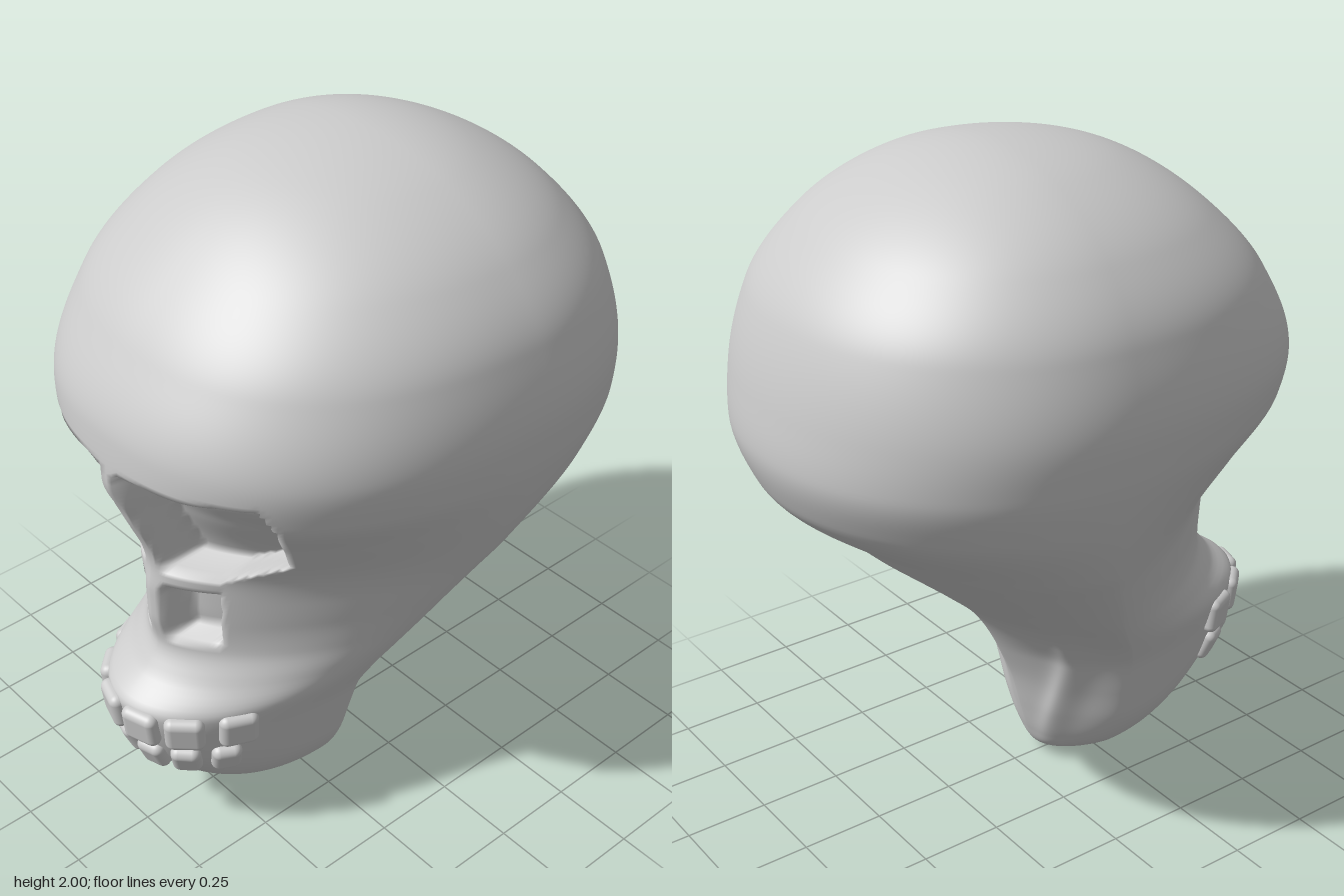
import * as THREE from 'three';
import { RoundedBoxGeometry } from 'three/addons/geometries/RoundedBoxGeometry.js';

const material = new THREE.MeshStandardMaterial({ color: 0xcccccc });

// Horizontal sections, the face towards -x:
// height, face x, nape x, x of the widest point, half width, face and nape roundness
const SECTIONS = [
  [0.00, -0.25, -0.25, -0.25, 0.00, 2.0, 1.8],
  [0.04, -0.45, -0.08, -0.24, 0.13, 2.0, 1.7],
  [0.10, -0.56, -0.05, -0.23, 0.20, 2.0, 1.5],
  [0.20, -0.665, -0.02, -0.22, 0.255, 2.05, 1.38],
  [0.31, -0.745, 0.01, -0.21, 0.285, 2.1, 1.32],
  [0.42, -0.785, 0.055, -0.20, 0.315, 2.1, 1.3],
  [0.50, -0.80, 0.095, -0.17, 0.35, 2.0, 1.35],
  [0.58, -0.71, 0.15, -0.12, 0.39, 1.75, 1.42],
  [0.66, -0.665, 0.235, -0.07, 0.43, 1.55, 1.5],
  [0.76, -0.68, 0.35, -0.02, 0.48, 1.42, 1.62],
  [0.85, -0.68, 0.455, 0.03, 0.525, 1.42, 1.7],
  [0.93, -0.67, 0.54, 0.07, 0.565, 1.48, 1.8],
  [1.13, -0.735, 0.765, 0.12, 0.64, 1.85, 2.0],
  [1.27, -0.785, 0.805, 0.12, 0.675, 2.2, 2.1],
  [1.40, -0.775, 0.79, 0.12, 0.69, 2.35, 2.1],
  [1.61, -0.675, 0.73, 0.11, 0.65, 2.35, 2.1],
  [1.79, -0.515, 0.595, 0.10, 0.535, 2.25, 2.05],
  [1.94, -0.28, 0.365, 0.09, 0.312, 2.05, 2.0],
  [2.00, 0.08, 0.08, 0.08, 0.00, 2.0, 2.0],
];

// Heights are spaced like a sphere's rings so that both ends close smoothly
const toT = y => Math.acos(THREE.MathUtils.clamp(1 - y, -1, 1)) / Math.PI;
const KNOTS = SECTIONS.map(s => toT(s[0]));

// Monotone cubic through one column of the section table
function smoothColumn(col) {
  const v = SECTIONS.map(s => s[col]), n = v.length;
  const slope = i => (v[i + 1] - v[i]) / (KNOTS[i + 1] - KNOTS[i]);
  const tangent = v.map((_, i) => {
    if (i === 0) return slope(0);
    if (i === n - 1) return slope(n - 2);
    const a = slope(i - 1), b = slope(i);
    return a * b <= 0 ? 0 : 2 * a * b / (a + b);
  });
  return t => {
    let i = 0;
    while (i < n - 2 && t > KNOTS[i + 1]) i++;
    const h = KNOTS[i + 1] - KNOTS[i], s = (t - KNOTS[i]) / h, s2 = s * s, s3 = s2 * s;
    return v[i] * (2 * s3 - 3 * s2 + 1) + tangent[i] * h * (s3 - 2 * s2 + s)
      + v[i + 1] * (3 * s2 - 2 * s3) + tangent[i + 1] * h * (s3 - s2);
  };
}
const [faceX, napeX, midX, halfWidth, faceRound, napeRound] =
  [1, 2, 3, 4, 5, 6].map(smoothColumn);

// Point on the head; angle 0 is the nape, PI the middle of the face
function surface(t, angle) {
  const c = Math.cos(angle), s = Math.sin(angle), mid = midX(t);
  const n = c < 0 ? faceRound(t) : napeRound(t);
  const reach = c < 0 ? mid - faceX(t) : napeX(t) - mid;
  const bend = k => Math.sign(k) * Math.abs(k) ** (2 / n);
  return new THREE.Vector3(mid + reach * bend(c), 1 - Math.cos(Math.PI * t), halfWidth(t) * bend(s));
}

// Side outlines of the hollows (clockwise), with their depth
const HOLLOWS = [
  { depth: 0.13, outline: [[-0.9, 1.3], [-0.77, 1.32], [-0.66, 1.38], [-0.47, 1.03], [-0.57, 0.93], [-0.9, 0.93]] },
  { depth: 0.09, outline: [[-0.9, 0.88], [-0.57, 0.885], [-0.565, 0.685], [-0.9, 0.67]] },
];
function insideDistance(x, y, outline) {
  return Math.min(...outline.map(([ax, ay], i) => {
    const [bx, by] = outline[(i + 1) % outline.length];
    return ((by - ay) * (x - ax) - (bx - ax) * (y - ay)) / Math.hypot(bx - ax, by - ay);
  }));
}

function skullGeometry(rings = 210, around = 280) {
  const positions = [], index = [];
  for (let i = 0; i <= rings; i++) {
    for (let j = 0; j < around; j++) {
      const p = surface(i / rings, j / around * Math.PI * 2);
      const x = p.x, side = Math.abs(p.z);
      // Eye sockets and nose openings, leaving a thin bridge in the middle
      for (const { depth, outline } of HOLLOWS) {
        if (x > -0.4 || p.y < 0.6 || p.y > 1.4) continue;
        p.x += depth * THREE.MathUtils.smoothstep(insideDistance(x, p.y, outline), 0, 0.03)
          * THREE.MathUtils.smoothstep(side, 0.025, 0.06);
      }
      // Pair of neck ridges that meet at the base
      if (x > midX(i / rings) && p.y < 0.7) {
        const fade = Math.sin(Math.PI * p.y / 0.7);
        p.x += 0.025 * fade * Math.exp(-(((side - 0.04 - 0.4 * p.y) / 0.04) ** 2));
      }
      positions.push(p.x, p.y, p.z);
      if (i < rings) {
        const k = (j + 1) % around, a = i * around, b = a + around;
        index.push(a + j, b + j, a + k, a + k, b + j, b + k);
      }
    }
  }
  const g = new THREE.BufferGeometry();
  g.setAttribute('position', new THREE.Float32BufferAttribute(positions, 3));
  g.setIndex(index);
  g.computeVertexNormals();
  return g;
}

// One row of teeth following the muzzle
function toothRow(name, y, height, width, tilt, angles) {
  const row = new THREE.Group();
  row.name = name;
  const geometry = new RoundedBoxGeometry(0.05, height, width, 5, 0.024);
  const t = toT(y);
  for (const side of [-1, 1]) {
    for (const a of angles) {
      const angle = Math.PI - side * a;
      const ahead = surface(t, angle + 0.05), behind = surface(t, angle - 0.05);
      const tooth = new THREE.Mesh(geometry, material);
      tooth.name = 'tooth';
      tooth.position.copy(surface(t, angle));
      tooth.rotation.order = 'YZX';
      tooth.rotation.y = Math.atan2(behind.x - ahead.x, behind.z - ahead.z);
      tooth.rotation.z = tilt;
      row.add(tooth);
    }
  }
  return row;
}

export function createModel() {
  const model = new THREE.Group();
  model.name = 'skull';

  const skull = new THREE.Mesh(skullGeometry(), material);
  skull.name = 'cranium and jaw';
  model.add(skull);

  model.add(toothRow('upperTeeth', 0.45, 0.115, 0.115, 0.12, [0.18, 0.53, 0.87]));
  model.add(toothRow('lowerTeeth', 0.315, 0.11, 0.088, 0.4, [0.17, 0.48, 0.78]));
  return model;
}
